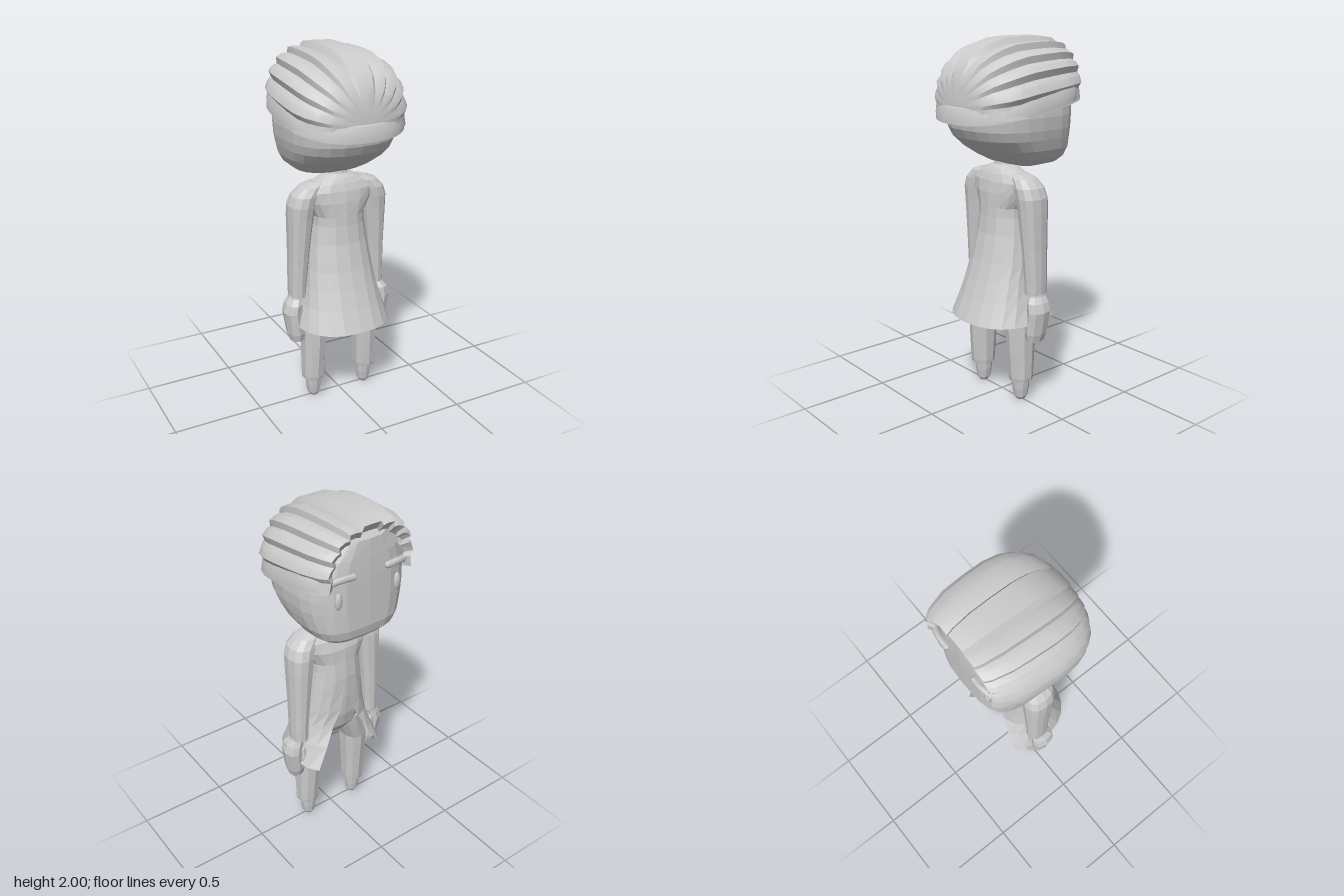
import * as THREE from 'three';
import { toCreasedNormals } from 'three/addons/utils/BufferGeometryUtils.js';

// Surface through rows of points; each face keeps its own flat normal.
function grid(rows) {
  const pos = [];
  for (let i = 0; i < rows.length - 1; i++) {
    for (let j = 0; j < rows[i].length - 1; j++) {
      const a = rows[i][j], b = rows[i][j + 1], c = rows[i + 1][j + 1], d = rows[i + 1][j];
      pos.push(...a, ...b, ...c, ...a, ...c, ...d);
    }
  }
  const g = new THREE.BufferGeometry();
  g.setAttribute('position', new THREE.Float32BufferAttribute(pos, 3));
  g.computeVertexNormals();
  return g;
}

const sgnPow = (v, p) => Math.sign(v) * Math.abs(v) ** p;

// One cross-section [y, halfWidth, zFront, zBack, centreX]; the face looks to -z.
function ring([y, w, zf, zb, cx = 0], side, n, power, open = 0) {
  const pts = [], cz = (zf + zb) / 2, rz = (zb - zf) / 2;
  for (let j = 0; j <= n; j++) {
    const a = open ? -(Math.PI - open) + (j / n) * 2 * (Math.PI - open) : (j / n) * Math.PI * 2;
    const p = Math.cos(a) < 0 ? power : Math.max(power, 0.85);
    pts.push([cx * side + w * sgnPow(Math.sin(a), p), y, cz + rz * sgnPow(Math.cos(a), p)]);
  }
  return pts;
}

// Closed loft from the bottom section to the top one.
function loft(sections, side = 1, n = 12, power = 0.85) {
  const rows = sections.map((s) => ring(s, side, n, power));
  const cap = (s) => Array.from({ length: n + 1 }, () => [(s[4] || 0) * side, s[0], (s[2] + s[3]) / 2]);
  return grid([cap(sections[0]), ...rows, cap(sections[sections.length - 1])]);
}

// Swept-back hair: stepped locks that fan out from a point low at the back.
function hairLocks() {
  const stations = [ // z, half width, base y, height, scale
    [-0.31, 0.27, 1.72, 0.255, 0.82], [-0.334, 0.275, 1.72, 0.268, 0.94],
    [-0.3, 0.288, 1.715, 0.275, 0.99], [-0.2, 0.318, 1.705, 0.295, 1],
    [-0.08, 0.33, 1.69, 0.31, 1], [0.04, 0.335, 1.675, 0.318, 1],
    [0.13, 0.325, 1.66, 0.31, 1], [0.2, 0.298, 1.65, 0.285, 1],
    [0.255, 0.255, 1.645, 0.245, 1], [0.29, 0.2, 1.64, 0.19, 1],
    [0.31, 0.13, 1.64, 0.125, 1], [0.317, 0.01, 1.64, 0.01, 1]];
  // Angle from the top and relative radius: gentle rise, then a steep step
  const half = [[0.157, 1], [0.23, 0.91], [0.34, 0.96], [0.48, 1], [0.55, 0.91], [0.66, 0.965], [0.81, 1],
    [0.9, 0.915], [1, 0.97], [1.12, 1], [1.22, 0.92], [1.32, 0.97], [1.45, 1], [1.53, 0.93], [1.72, 0.98]];
  const profile = [...half.map(([a, r]) => [-a, r]).reverse(), [0, 0.995], ...half];
  const rows = stations.map(([z, w, y, h, s]) => profile.map(([a, r]) => [
    -w * s * r * sgnPow(Math.sin(a), 0.88), y + h * s * r * sgnPow(Math.cos(a), 0.88), z]));
  return toCreasedNormals(grid(rows), 0.42);
}

// Band of hair around the back of the head, rising towards the temples.
function hairBand() {
  const profile = [[0.84, 0.01], [1, -0.03], [1, 0.02], [0.96, 0.055], [0.84, 0.075]];
  const n = 32, limit = 2.5;
  const rows = profile.map(([r, dy]) => {
    const row = [];
    for (let j = 0; j <= n; j++) {
      const a = -limit + (j / n) * 2 * limit;
      const p = Math.cos(a) < 0 ? 0.5 : 0.85;
      const z = 0.337 * sgnPow(Math.cos(a), p);
      row.push([0.327 * r * sgnPow(Math.sin(a), p), 1.595 + (0.337 - z) * 0.18 + dy, z * r]);
    }
    return row;
  });
  return toCreasedNormals(grid(rows), 0.5);
}

export function createModel() {
  const model = new THREE.Group();
  const grey = new THREE.MeshStandardMaterial({ color: 0xcccccc, side: THREE.DoubleSide });
  grey.name = 'light grey';
  const add = (name, geometry) => {
    const mesh = new THREE.Mesh(geometry, grey);
    mesh.name = name;
    model.add(mesh);
    return mesh;
  };

  // Head with a flat face
  add('head', loft([
    [1.312, 0.11, -0.2, -0.06], [1.335, 0.19, -0.28, 0.02], [1.37, 0.235, -0.315, 0.09],
    [1.42, 0.268, -0.326, 0.17], [1.48, 0.288, -0.326, 0.24], [1.53, 0.3, -0.326, 0.268],
    [1.6, 0.307, -0.326, 0.283], [1.7, 0.302, -0.326, 0.28],
    [1.8, 0.255, -0.323, 0.23], [1.89, 0.15, -0.318, 0.12]], 1, 24, 0.6));
  add('hair', hairLocks());
  add('hairBand', hairBand());

  // Neck and torso
  add('neck', loft([[1.26, 0.07, -0.08, 0.045], [1.34, 0.055, -0.08, 0.03]]));
  add('torso', loft([
    [0.6, 0.09, -0.08, 0.07], [0.66, 0.17, -0.12, 0.1], [0.75, 0.178, -0.14, 0.11],
    [0.88, 0.165, -0.15, 0.11], [1.0, 0.15, -0.15, 0.105], [1.1, 0.15, -0.14, 0.1],
    [1.18, 0.195, -0.135, 0.095], [1.24, 0.215, -0.115, 0.085], [1.28, 0.17, -0.095, 0.07],
    [1.305, 0.11, -0.08, 0.055], [1.325, 0.065, -0.07, 0.035]], 1, 16));

  // Coat tails, open at the front
  const tails = [
    [0.475, 0.274, -0.27, 0.265, 0.85], [0.6, 0.232, -0.2, 0.215, 0.6],
    [0.7, 0.206, -0.158, 0.18, 0.38], [0.8, 0.188, -0.152, 0.15, 0.15],
    [0.95, 0.165, -0.15, 0.115, 0.05], [1.05, 0.151, -0.145, 0.103, 0.05]];
  add('coatTails', grid(tails.map(([y, w, zf, zb, open]) => ring([y, w, zf, zb], 1, 16, 0.85, open))));

  for (const side of [1, -1]) {
    const label = side > 0 ? 'left' : 'right';
    add(label + 'Arm', loft([
      [0.64, 0.045, -0.098, 0.03, 0.243], [0.7, 0.046, -0.1, 0.032, 0.243],
      [0.9, 0.054, -0.105, 0.045, 0.234], [1.1, 0.068, -0.11, 0.06, 0.223],
      [1.17, 0.072, -0.11, 0.068, 0.218], [1.225, 0.07, -0.1, 0.068, 0.201],
      [1.27, 0.066, -0.08, 0.055, 0.162], [1.292, 0.045, -0.06, 0.035, 0.12]], side));
    add(label + 'Hand', loft([
      [0.378, 0.04, -0.06, 0.035, 0.26], [0.42, 0.048, -0.075, 0.045, 0.264],
      [0.55, 0.05, -0.088, 0.048, 0.281], [0.6, 0.042, -0.085, 0.045, 0.273],
      [0.63, 0.034, -0.08, 0.02, 0.258], [0.66, 0.034, -0.08, 0.015, 0.25]], side, 8, 0.7));
    const thumb = add(label + 'Thumb', new THREE.CapsuleGeometry(0.02, 0.06, 2, 6));
    thumb.position.set(side * 0.24, 0.535, -0.07);
    thumb.rotation.x = 0.15;

    add(label + 'Leg', loft([
      [0.12, 0.06, -0.06, 0.066, 0.168], [0.14, 0.063, -0.063, 0.07, 0.168],
      [0.3, 0.066, -0.077, 0.082, 0.165], [0.48, 0.071, -0.094, 0.092, 0.16],
      [0.6, 0.076, -0.11, 0.095, 0.115], [0.68, 0.08, -0.12, 0.1, 0.09]], side, 10));
    add(label + 'Shoe', loft([
      [0, 0.022, -0.025, 0.025, 0.165], [0.02, 0.034, -0.037, 0.037, 0.165],
      [0.07, 0.042, -0.044, 0.046, 0.165], [0.13, 0.046, -0.049, 0.053, 0.165]], side, 10));

    // Eye and eyebrow
    const eye = add(label + 'Eye', new THREE.SphereGeometry(1, 12, 8));
    eye.scale.set(0.02, 0.047, 0.014);
    eye.position.set(side * 0.18, 1.607, -0.312);
    const path = new THREE.CatmullRomCurve3([
      new THREE.Vector3(side * 0.105, 1.724, -0.326),
      new THREE.Vector3(side * 0.17, 1.727, -0.323),
      new THREE.Vector3(side * 0.245, 1.712, -0.3)]);
    add(label + 'Eyebrow', new THREE.TubeGeometry(path, 8, 0.018, 6));
    for (const end of [0, 1]) {
      const tip = add(label + 'EyebrowTip', new THREE.SphereGeometry(0.018, 6, 5));
      tip.position.copy(path.getPoint(end));
    }
  }
  return model;
}
